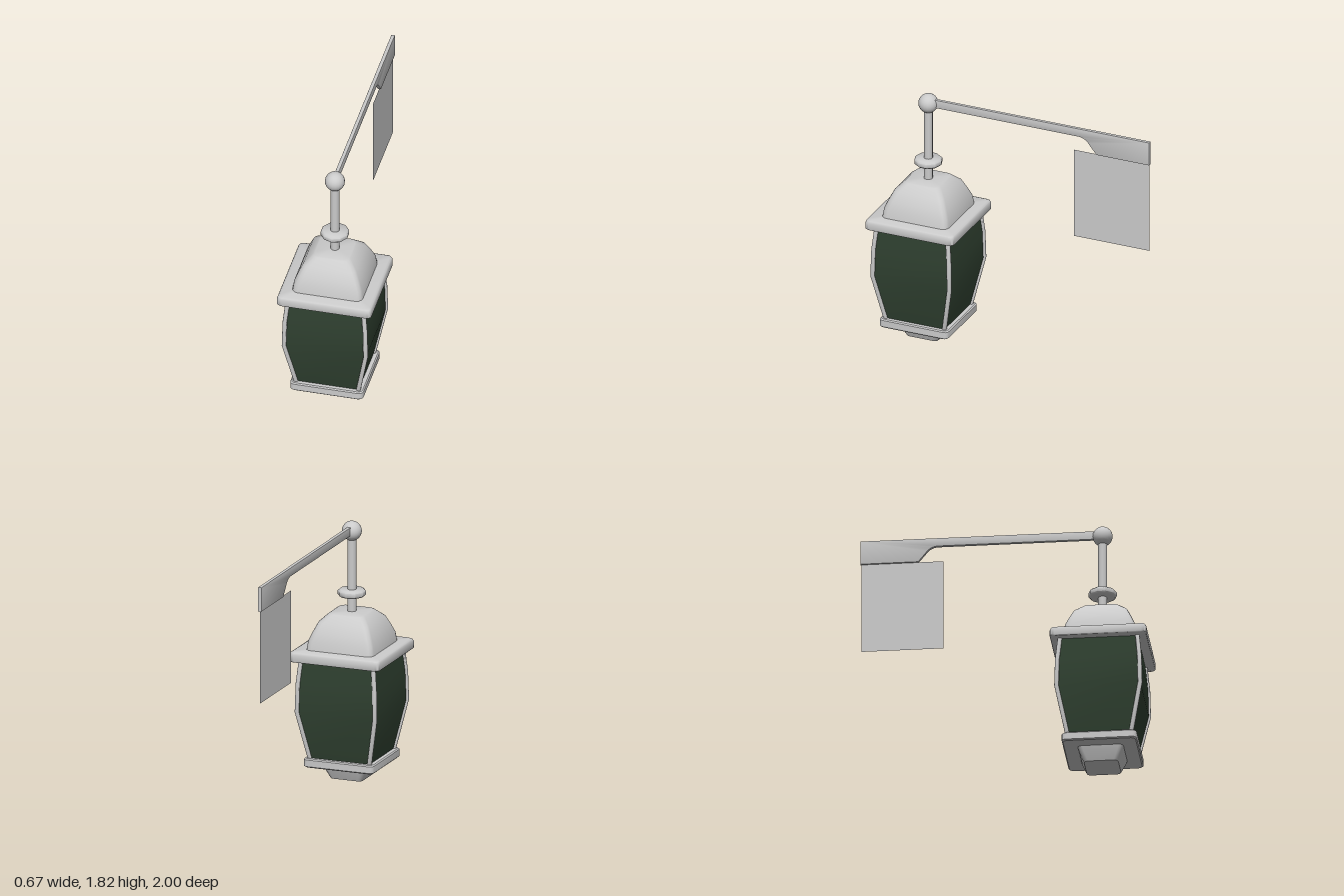
import * as THREE from 'three';
import { toCreasedNormals } from 'three/addons/utils/BufferGeometryUtils.js';

const grey = new THREE.MeshStandardMaterial({ color: 0xcccccc });
const greyThin = new THREE.MeshStandardMaterial({ color: 0xcccccc, side: THREE.DoubleSide });
const glassGreen = new THREE.MeshStandardMaterial({ color: 0x2f4030 });

const LAMP_Z = 0.667;

// Stacks rounded-square rings: profile rows are [half width, y, offset x, offset z]
function squareLoft(profile, corner, steps = 3, crease = 0.6) {
  const rows = [[0, profile[0][1], profile[0][2], profile[0][3]], ...profile];
  const last = profile[profile.length - 1];
  rows.push([0, last[1], last[2], last[3]]);
  const pos = [], idx = [], n = 4 * (steps + 1);
  for (const [h, y, ox = 0, oz = 0] of rows) {
    const r = Math.min(corner, h);
    for (let q = 0; q < 4; q++) {
      const mid = (q + 0.5) * Math.PI / 2;
      const cx = Math.sign(Math.cos(mid)) * (h - r), cz = Math.sign(Math.sin(mid)) * (h - r);
      for (let s = 0; s <= steps; s++) {
        const a = (q + s / steps) * Math.PI / 2;
        pos.push(ox + cx + r * Math.cos(a), y, oz + cz + r * Math.sin(a));
      }
    }
  }
  for (let i = 0; i < rows.length - 1; i++) {
    for (let j = 0; j < n; j++) {
      const a = i * n + j, b = i * n + (j + 1) % n;
      if (i > 0) idx.push(a, a + n, b);
      if (i === 0) idx.push(a, a + n, b + n);
      else if (i < rows.length - 2) idx.push(b, a + n, b + n);
    }
  }
  const g = new THREE.BufferGeometry();
  g.setAttribute('position', new THREE.Float32BufferAttribute(pos, 3));
  g.setIndex(idx);
  return toCreasedNormals(g, crease);
}

function add(parent, name, geometry, material = grey) {
  const mesh = new THREE.Mesh(geometry, material);
  mesh.name = name;
  parent.add(mesh);
  return mesh;
}

export function createModel() {
  const model = new THREE.Group();
  model.name = 'hangingLantern';

  const lantern = new THREE.Group();
  lantern.name = 'lantern';
  lantern.position.z = LAMP_Z;
  model.add(lantern);

  // Foot and lower tray
  add(lantern, 'foot', squareLoft([[0.118, 0], [0.148, 0.07], [0.16, 0.11]], 0.03));
  add(lantern, 'lowerTray', squareLoft([[0.25, 0.1], [0.258, 0.108], [0.258, 0.155], [0.25, 0.163]], 0.03));

  // Bulging glass body with a bar along each corner
  const body = [[0.232, 0.15], [0.302, 0.5], [0.297, 0.7], [0.28, 0.875]];
  add(lantern, 'glass', squareLoft(body.map(([h, y]) => [h - 0.012, y]), 0.002, 1), glassGreen);
  for (const sx of [1, -1]) for (const sz of [1, -1]) {
    const rows = body.map(([h, y]) => [0.015, y, sx * (h - 0.014), sz * (h - 0.014)]);
    add(lantern, 'cornerBar', squareLoft(rows, 0.009, 2, 0.9));
  }

  // Eave slab and domed roof
  add(lantern, 'eave', squareLoft(
    [[0.328, 0.862], [0.333, 0.868], [0.333, 0.912], [0.327, 0.927], [0.312, 0.934]], 0.03, 3, 0.8));
  add(lantern, 'roof', squareLoft(
    [[0.25, 0.92], [0.24, 0.995], [0.218, 1.05], [0.186, 1.12], [0.132, 1.172], [0.122, 1.177]], 0.045, 3, 0.8));

  // Hanging rod, collar and ball joint
  add(lantern, 'rod', new THREE.CylinderGeometry(0.031, 0.031, 0.59, 12)).position.y = 1.455;
  const collar = [[0, 1.283], [0.085, 1.283], [0.098, 1.294], [0.098, 1.32], [0.085, 1.332], [0, 1.332]]
    .map(([x, y]) => new THREE.Vector2(x, y));
  add(lantern, 'collar', toCreasedNormals(new THREE.LatheGeometry(collar, 10), 0.9));
  add(lantern, 'ball', new THREE.SphereGeometry(0.069, 20, 14)).position.y = 1.747;

  // Flat wall arm flaring into a plate; drawn with shape x = -z
  const b = 0.004, top = 1.785 - b, low = 1.724 + b;
  const s = new THREE.Shape();
  s.moveTo(-LAMP_Z, low);
  s.lineTo(0.47, low);
  s.quadraticCurveTo(0.525, low - 0.004, 0.555, 1.675);
  s.lineTo(0.604, 1.612 + b);
  s.lineTo(1 - b, 1.612 + b);
  s.lineTo(1 - b, top);
  s.lineTo(-LAMP_Z, top);
  const arm = new THREE.ExtrudeGeometry(s, {
    depth: 0.018, bevelEnabled: true, bevelSize: b, bevelThickness: b, bevelSegments: 2, curveSegments: 6,
  });
  arm.translate(0, 0, -0.009);
  arm.rotateY(Math.PI / 2);
  add(model, 'wallArm', toCreasedNormals(arm, 0.6));

  // Thin sheet hanging below the plate
  const sheet = add(model, 'hangingSheet', new THREE.PlaneGeometry(0.565, 0.658), greyThin);
  sheet.rotation.y = Math.PI / 2;
  sheet.position.set(0, 1.284, -0.712);

  return model;
}
